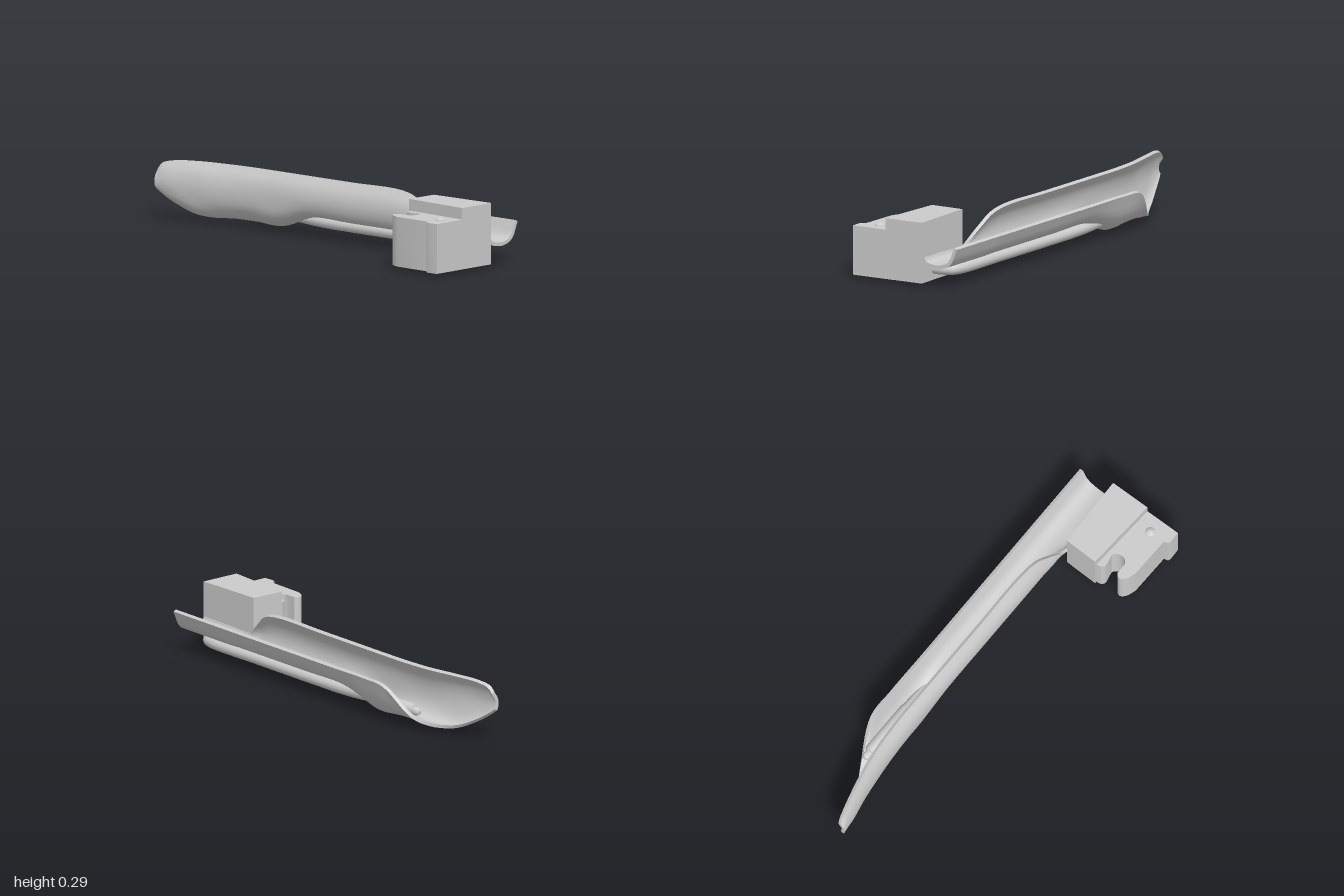
import * as THREE from 'three';
import { toCreasedNormals } from 'three/addons/utils/BufferGeometryUtils.js';

const material = new THREE.MeshStandardMaterial({ color: 0xcccccc });

function part(name, geometry, parent) {
  const mesh = new THREE.Mesh(geometry, material);
  mesh.name = name;
  parent.add(mesh);
  return mesh;
}

// Trough sections as z, y pairs, from the front rim over the floor to the back rim
const FULL = [-.14, .272, -.106, .22, -.097, .16, -.116, .108, -.17, .098, -.225, .118, -.262, .19];
const FLOOR = [-.09, .13, -.097, .115, -.11, .105, -.135, .098, -.18, .097, -.228, .118, -.262, .19];
const SECTIONS = [
  [-1, [-.046, .225, -.036, .21, -.027, .195, -.024, .18, -.024, .165, -.027, .153, -.032, .145]],
  [-.98, [-.052, .25, -.037, .225, -.03, .2, -.027, .178, -.029, .155, -.034, .138, -.04, .128]],
  [-.92, [-.068, .266, -.048, .23, -.037, .19, -.036, .155, -.042, .125, -.052, .1, -.062, .088]],
  [-.8, [-.098, .272, -.07, .225, -.06, .17, -.066, .11, -.08, .065, -.1, .042, -.115, .036]],
  [-.65, [-.126, .272, -.094, .22, -.081, .16, -.09, .09, -.12, .047, -.16, .037, -.2, .052]],
  [-.5, [-.138, .272, -.103, .22, -.091, .15, -.106, .08, -.157, .038, -.217, .072, -.26, .18]],
  [-.36, [-.14, .272, -.106, .22, -.096, .15, -.11, .07, -.17, .033, -.225, .085, -.262, .19]],
  [-.15, FULL],
  [.1, FULL],
  [.4, FULL],
  [.5, [-.132, .25, -.106, .205, -.098, .155, -.116, .108, -.17, .098, -.225, .118, -.262, .19]],
  [.58, [-.112, .19, -.1, .165, -.098, .138, -.114, .108, -.17, .098, -.225, .118, -.262, .19]],
  [.66, FLOOR],
  [.82, FLOOR],
  [.98, FLOOR],
];

// Thin curved shell: rails run along the blade, each station is a smooth section given thickness
function bladeGeometry(stations = 84, n = 24, half = 0.008) {
  const rails = Array.from({ length: 7 }, (_, k) => new THREE.CatmullRomCurve3(
    SECTIONS.map(([x, s]) => new THREE.Vector3(x, s[2 * k + 1], s[2 * k]))));
  const positions = [], index = [], ring = 2 * (n + 1);
  for (let i = 0; i <= stations; i++) {
    const curve = new THREE.CatmullRomCurve3(rails.map(r => r.getPoint(i / stations)));
    const outer = [], inner = [];
    for (let j = 0; j <= n; j++) {
      const p = curve.getPoint(j / n), t = curve.getTangent(j / n);
      const len = Math.hypot(t.y, t.z), nz = half * t.y / len, ny = -half * t.z / len;
      outer.push([p.x, p.y - ny, p.z - nz]);
      inner.unshift([p.x, p.y + ny, p.z + nz]);
    }
    positions.push(...outer.flat(), ...inner.flat());
  }
  for (let i = 0; i < stations; i++) {
    for (let j = 0; j < ring; j++) {
      const a = i * ring + j, b = i * ring + (j + 1) % ring;
      index.push(a, b, a + ring, b, b + ring, a + ring);
    }
  }
  // End caps
  const last = stations * ring;
  for (let j = 0; j < n; j++) {
    const o = j, p = j + 1, q = ring - 1 - j, r = ring - 2 - j;
    index.push(o, q, p, p, q, r);
    index.push(last + o, last + p, last + q, last + p, last + r, last + q);
  }
  const geometry = new THREE.BufferGeometry();
  geometry.setAttribute('position', new THREE.Float32BufferAttribute(positions, 3));
  geometry.setIndex(index);
  return toCreasedNormals(geometry, 0.7);
}

// Extrudes a plan outline (x, -z) upward from y0 to y1
function plan(shape, y0, y1) {
  const geometry = new THREE.ExtrudeGeometry(shape, { depth: y1 - y0, bevelEnabled: false, curveSegments: 10 });
  geometry.rotateX(-Math.PI / 2).translate(0, y0, 0);
  return toCreasedNormals(geometry, 0.6);
}

function lathe(points, sides) {
  const geometry = new THREE.LatheGeometry(points.map(([r, y]) => new THREE.Vector2(r, y)), sides);
  return toCreasedNormals(geometry, 0.5);
}

export function createModel() {
  const model = new THREE.Group();
  model.name = 'curvedBladeTool';

  part('blade', bladeGeometry(), model);

  // Mounting block
  const mount = new THREE.Group();
  mount.name = 'mount';
  model.add(mount);
  const body = new THREE.Shape([[.65, -.08], [.995, -.1], [.99, .09], [.65, .08]]
    .map(([x, y]) => new THREE.Vector2(x, y)));
  part('mountBlock', plan(body, 0.015, 0.29), mount);

  // Hook with a rounded notch in its side
  const hook = new THREE.Shape();
  hook.moveTo(.66, -.06);
  hook.lineTo(.66, -.09);
  hook.quadraticCurveTo(.665, -.118, .69, -.115);
  hook.lineTo(.735, -.105);
  hook.bezierCurveTo(.77, -.12, .77, -.17, .735, -.178);
  hook.lineTo(.685, -.178);
  hook.bezierCurveTo(.66, -.195, .665, -.225, .735, -.242);
  hook.lineTo(.93, -.246);
  hook.lineTo(.935, -.266);
  hook.lineTo(.95, -.27);
  hook.lineTo(1, -.268);
  hook.lineTo(.995, -.06);
  part('hook', plan(hook, 0.015, 0.238), mount);

  // Pin through the hook
  const pin = part('pin', lathe([[0, 0], [.012, .004], [.023, .013], [.023, .24], [.012, .249], [0, .253]], 10), mount);
  pin.position.set(.928, 0, .17);

  // Light pipe: elbow out of the block, then along the underside and up through the floor
  const light = new THREE.Group();
  light.name = 'light';
  model.add(light);
  const path = new THREE.CatmullRomCurve3([
    [.88, .065, -.05], [.88, .065, -.12], [.862, .065, -.165], [.81, .065, -.182],
    [.5, .065, -.183], [.1, .065, -.184], [-.15, .068, -.185], [-.36, .082, -.185],
  ].map(p => new THREE.Vector3(...p)));
  part('lightPipe', new THREE.TubeGeometry(path, 80, 0.025, 14), light);

  // Lamp sleeve with stepped end and bulb
  const lamp = part('lamp', lathe([
    [0, 0], [.027, 0], [.03, .006], [.03, .25], [.026, .262], [.019, .264],
    [.019, .285], [.013, .298], [0, .304],
  ], 16), light);
  lamp.position.set(-.35, .082, -.185);
  lamp.rotation.z = Math.PI / 2;

  return model;
}
